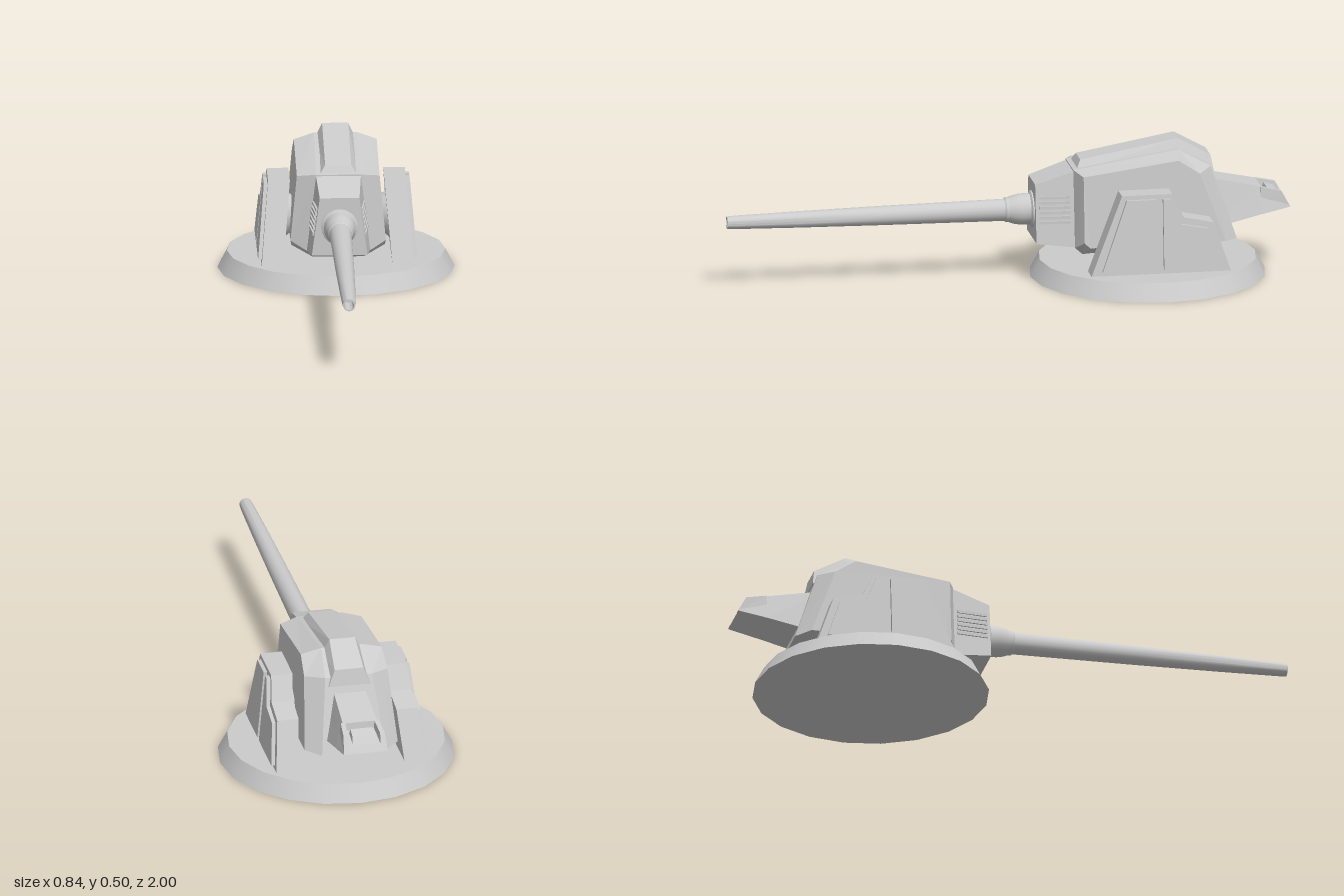
import * as THREE from 'three';
import { toCreasedNormals } from 'three/addons/utils/BufferGeometryUtils.js';

const smooth = new THREE.MeshStandardMaterial({ color: 0xcccccc, side: THREE.DoubleSide });
const flat = new THREE.MeshStandardMaterial({ color: 0xcccccc, flatShading: true });

// Skin a row of matching rings [[x, y, z], ...] and cap both ends
function loft(rings) {
  const pos = [];
  const tri = (...pts) => pts.forEach((p) => pos.push(...p));
  const n = rings[0].length;
  for (let i = 0; i < rings.length - 1; i++) {
    const a = rings[i], b = rings[i + 1];
    for (let j = 0; j < n; j++) {
      const k = (j + 1) % n;
      tri(a[j], b[j], b[k]);
      tri(a[j], b[k], a[k]);
    }
  }
  const first = rings[0], last = rings[rings.length - 1];
  for (let j = 1; j < n - 1; j++) {
    tri(first[0], first[j], first[j + 1]);
    tri(last[0], last[j + 1], last[j]);
  }
  const g = new THREE.BufferGeometry();
  g.setAttribute('position', new THREE.Float32BufferAttribute(pos, 3));
  g.computeVertexNormals();
  return g;
}

// Trapezoid ring for lofts that run from front to back
const trap = (zTop, yTop, wTop, zBot, yBot, wBot, cx = 0) => [
  [cx + wTop, yTop, zTop], [cx - wTop, yTop, zTop], [cx - wBot, yBot, zBot], [cx + wBot, yBot, zBot],
];

// Side plate from a [z, y] outline, leaning outward toward its foot
function leaningPlate(outline, xInner, depth, side) {
  const shape = new THREE.Shape(outline.map(([z, y]) => new THREE.Vector2(-z, y)));
  const g = new THREE.ExtrudeGeometry(shape, { depth, bevelEnabled: false });
  g.rotateY(Math.PI / 2);
  g.translate(side > 0 ? xInner : -xInner - depth, 0, 0);
  const p = g.attributes.position;
  for (let i = 0; i < p.count; i++) p.setX(i, p.getX(i) - side * 0.09 * (p.getY(i) - 0.065));
  g.computeVertexNormals();
  return g;
}

export function createModel() {
  const group = new THREE.Group();
  const add = (name, geometry, material = flat) => {
    const mesh = new THREE.Mesh(geometry, material);
    mesh.name = name;
    group.add(mesh);
    return mesh;
  };

  // Round base
  add('base', new THREE.CylinderGeometry(0.385, 0.418, 0.062, 20), smooth).position.set(0, 0.031, -0.503);

  // Armoured body: inset side panels bevelled out to a larger middle section
  const panel = [
    [0.146, 0.395, -0.25], [0.146, 0.44, -0.59], [0.15, 0.39, -0.665],
    [0.168, 0.145, -0.755], [0.165, 0.14, -0.27], [0.168, 0.16, -0.25],
  ];
  const middle = [
    [0.08, 0.405, -0.225], [0.075, 0.462, -0.6], [0.085, 0.4, -0.715],
    [0.115, 0.14, -0.803], [0.09, 0.1, -0.255], [0.113, 0.13, -0.225],
  ];
  const mirror = (ring) => ring.map(([x, y, z]) => [-x, y, z]);
  add('body', loft([mirror(panel), mirror(middle), middle, panel]));

  // Ridge along the roof
  add('roofRidge', loft([
    trap(-0.255, 0.433, 0.046, -0.235, 0.395, 0.07),
    trap(-0.605, 0.495, 0.046, -0.6, 0.44, 0.073),
    trap(-0.72, 0.43, 0.052, -0.73, 0.37, 0.075),
  ]));

  // Gun housing at the front
  add('gunHousing', loft([
    trap(-0.09, 0.355, 0.07, -0.09, 0.147, 0.098),
    trap(-0.24, 0.405, 0.08, -0.24, 0.13, 0.113),
  ]));

  // Rear counterweight with a recessed end between two rails
  add('counterweight', loft([
    trap(-0.68, 0.355, 0.055, -0.68, 0.165, 0.1),
    trap(-0.9, 0.308, 0.062, -0.9, 0.215, 0.087),
    trap(-0.902, 0.28, 0.069, -0.902, 0.215, 0.087),
    trap(-0.985, 0.26, 0.074, -1, 0.235, 0.08),
  ]));
  add('counterweightStep', loft([
    trap(-0.925, 0.296, 0.04, -0.91, 0.255, 0.045),
    trap(-0.96, 0.285, 0.04, -0.985, 0.25, 0.045),
  ]));

  const support = [[-0.257, 0.065], [-0.37, 0.347], [-0.55, 0.347], [-0.59, 0.262], [-0.695, 0.24], [-0.755, 0.065]];
  const frontPanel = [[-0.295, 0.08], [-0.385, 0.332], [-0.49, 0.332], [-0.49, 0.08]];
  const rearPanel = [[-0.515, 0.08], [-0.515, 0.332], [-0.542, 0.332], [-0.578, 0.24], [-0.675, 0.222], [-0.722, 0.08]];

  for (const side of [1, -1]) {
    const label = side > 0 ? 'left' : 'right';

    // Support with two thin outer panels and a pivot to the body
    add(label + 'Support', leaningPlate(support, 0.192, 0.077, side));
    add(label + 'FrontPanel', leaningPlate(frontPanel, 0.266, 0.016, side));
    add(label + 'RearPanel', leaningPlate(rearPanel, 0.266, 0.016, side));
    const pivot = add(label + 'Pivot', new THREE.CylinderGeometry(0.09, 0.05, 0.06, 16), smooth);
    pivot.rotation.z = -side * (Math.PI / 2 + 0.09);
    pivot.position.set(side * 0.165, 0.2, -0.5);

    // Rail beside the counterweight recess
    add(label + 'Rail', loft([
      trap(-0.895, 0.309, 0.008, -0.895, 0.25, 0.013, side * 0.06),
      trap(-0.97, 0.292, 0.008, -1, 0.237, 0.013, side * 0.066),
    ]));

    // Cooling slats on the gun housing
    for (let i = 0; i < 6; i++) {
      const y = 0.222 + i * 0.0175;
      const slat = add(label + 'Slat', new THREE.BoxGeometry(0.016, 0.01, 0.11));
      slat.position.set(side * (0.092 - (y - 0.222) * 0.13), y, -0.157);
      slat.rotation.y = side * -0.09;
    }
  }

  // Hollow tapered barrel with a stepped collar: [radius, z]
  const profile = [
    [0.065, -0.1], [0.065, -0.085], [0.056, -0.08], [0.055, -0.045], [0.05, -0.02],
    [0.044, -0.005], [0.044, 0.005], [0.039, 0.01], [0.034, 0.45], [0.029, 0.75],
    [0.024, 0.97], [0.022, 1], [0.017, 1], [0.017, 0.9], [0, 0.9],
  ].map(([r, z]) => new THREE.Vector2(r, z));
  const barrel = toCreasedNormals(new THREE.LatheGeometry(profile, 20), 0.5);
  barrel.rotateX(Math.PI / 2);
  add('barrel', barrel, smooth).position.y = 0.25;

  return group;
}
